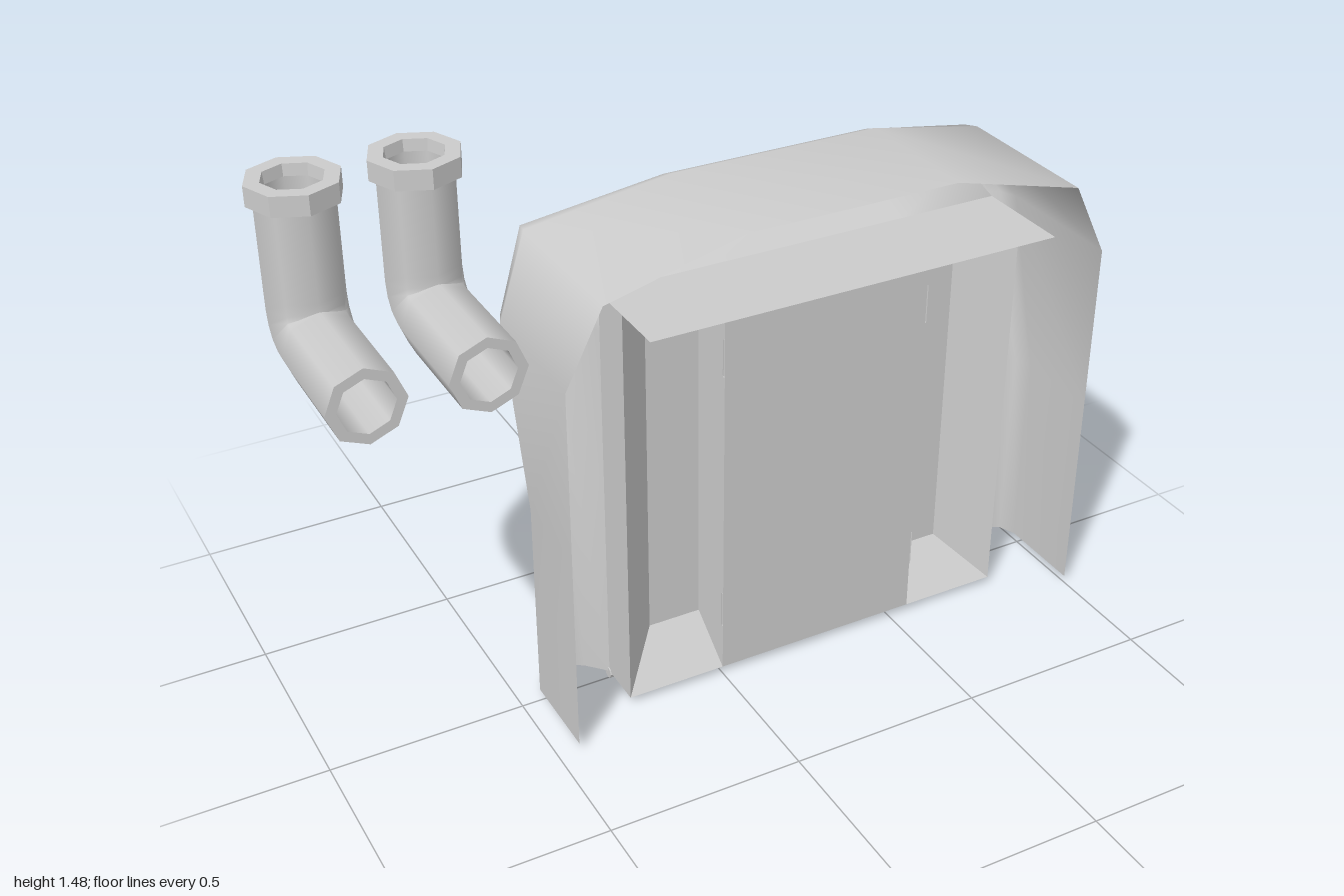
import * as THREE from 'three';

const smooth = new THREE.MeshStandardMaterial({ color: 0xcccccc, side: THREE.DoubleSide });
const flat = new THREE.MeshStandardMaterial({ color: 0xcccccc, side: THREE.DoubleSide, flatShading: true });

const CX = 0.277; // centre line of the hatch
const X0 = -0.26, X1 = 0.814, Y0 = 0.02, Y1 = 1.1; // panel outline
const PANEL_Z = 0.12;

function add(parent, name, geometry, material, x = 0, y = 0, z = 0) {
  const mesh = new THREE.Mesh(geometry, material);
  mesh.name = name;
  mesh.position.set(x, y, z);
  parent.add(mesh);
  return mesh;
}

// Skin a list of equally long point rows
function loft(rows, closed = false) {
  const n = rows[0].length, index = [];
  for (let i = 0; i < rows.length - 1; i++) {
    for (let j = 0; j < (closed ? n : n - 1); j++) {
      const a = i * n + j, b = i * n + (j + 1) % n;
      index.push(a, b, a + n, b, b + n, a + n);
    }
  }
  const g = new THREE.BufferGeometry();
  g.setAttribute('position', new THREE.Float32BufferAttribute(rows.flat(2), 3));
  g.setIndex(index);
  g.computeVertexNormals();
  return g;
}

const rect = (x0, x1, y0, y1, z) => [[x0, y0, z], [x1, y0, z], [x1, y1, z], [x0, y1, z]];

// Tapered tray or block: open at the first rectangle, capped at the last
function taper(a, b) {
  const mid = [(b[0] + b[1]) / 2, (b[2] + b[3]) / 2, b[4]];
  return loft([rect(...a), rect(...b), [mid, mid, mid, mid]], true);
}

function buildHood() {
  // half outline: outer x, outer y, inner x, inner y, rear z
  const half = [
    [-0.445, 0.02, X0, 0.02, -0.075],
    [-0.445, 0.56, X0, 0.56, -0.075],
    [-0.445, 1.0, X0, 1.0, -0.2],
    [-0.35, 1.19, X0, Y1, -0.262],
    [0, 1.28, 0, Y1, -0.2],
  ];
  const other = half.map(([a, b, c, d, e]) => [2 * CX - a, b, 2 * CX - c, d, e]).reverse();
  const rows = [...half, ...other].map(([ox, oy, ix, iy, zb]) => {
    const section = [[0, 0.215], [0, zb + 0.06], [0.1, zb + 0.018], [0.25, zb + 0.003],
      [0.4, zb], [0.6, zb * 0.9], [0.75, zb * 0.65], [1, 0]];
    return section.map(([t, z]) => [ox + (ix - ox) * t, oy + (iy - oy) * t, z]);
  });
  return loft(rows);
}

function buildPanel() {
  const panel = new THREE.Group();
  panel.name = 'hatchPanel';
  const w = X1 - X0, h = Y1 - Y0;

  // Thin border sheets around the panel
  add(panel, 'topSheet', new THREE.PlaneGeometry(w, 0.258).rotateX(-Math.PI / 2), flat, CX, Y1, 0.129);
  add(panel, 'bottomSheet', new THREE.PlaneGeometry(w, PANEL_Z).rotateX(-Math.PI / 2), flat, CX, Y0, PANEL_Z / 2);
  for (const x of [X0, X1]) {
    add(panel, 'sideSheet', new THREE.PlaneGeometry(PANEL_Z, h).rotateY(Math.PI / 2), flat, x, (Y0 + Y1) / 2, PANEL_Z / 2);
  }
  add(panel, 'centrePlate', new THREE.PlaneGeometry(0.554, h), flat, CX, (Y0 + Y1) / 2, PANEL_Z);

  // Sunken channels either side of the plate
  add(panel, 'channel', taper([X0, 0, Y0, Y1, PANEL_Z], [-0.15, -0.01, 0.13, 0.995, 0.01]), flat);
  add(panel, 'channel', taper([0.554, X1, Y0, Y1, PANEL_Z], [0.564, 0.704, 0.13, 0.995, 0.01]), flat);

  // Locking bars with clamp blocks on the rear
  for (const y of [0.2, 0.92]) {
    for (const side of [-1, 1]) {
      const x = CX + side * 0.18;
      add(panel, 'clampBlock', taper([x - 0.1, x + 0.1, y - 0.05, y + 0.05, PANEL_Z],
        [x - 0.085, x + 0.085, y - 0.035, y + 0.035, 0.06]), flat);
    }
    add(panel, 'lockingBar', new THREE.BoxGeometry(0.2, 0.03, 0.03), flat, CX, y, PANEL_Z - 0.015);
  }

  // Six-toothed wheel and hub
  const shape = new THREE.Shape();
  for (let k = 0; k < 6; k++) {
    const mid = Math.PI / 2 + k * Math.PI / 3;
    for (const [da, r] of [[-0.3, 0.155], [-0.18, 0.225], [0.18, 0.225], [0.3, 0.155]]) {
      const x = r * Math.cos(mid + da), y = r * Math.sin(mid + da);
      if (k === 0 && da === -0.3) shape.moveTo(x, y); else shape.lineTo(x, y);
    }
  }
  shape.closePath();
  const hole = new THREE.Path();
  hole.absarc(0, 0, 0.125, 0, Math.PI * 2, true);
  shape.holes.push(hole);
  const wheel = new THREE.ExtrudeGeometry(shape, {
    depth: 0.06, bevelEnabled: true, bevelSize: 0.012, bevelThickness: 0.012, bevelSegments: 1, curveSegments: 8,
  });
  add(panel, 'gearWheel', wheel, flat, CX, 0.56, 0.047);
  add(panel, 'gearHub', new THREE.CylinderGeometry(0.042, 0.042, 0.05, 10).rotateX(Math.PI / 2), flat, CX, 0.56, 0.095);
  return panel;
}

function buildHinge(x) {
  const hinge = new THREE.Group();
  hinge.name = 'hinge';
  const barrel = (r, l) => new THREE.CylinderGeometry(r, r, l, 8).rotateZ(Math.PI / 2);
  add(hinge, 'hingePin', barrel(0.01, 0.17), flat);
  for (const s of [-1, 1]) add(hinge, 'hingeKnuckle', barrel(0.016, 0.06), flat, s * 0.058);
  hinge.position.set(x, 0.016, -0.003);
  return hinge;
}

function buildPipe(x) {
  const pipe = new THREE.Group();
  pipe.name = 'elbowPipe';
  const v = (y, z) => new THREE.Vector3(0, y, z);
  const path = new THREE.CurvePath();
  path.add(new THREE.LineCurve3(v(1.45, -0.115), v(1.2, -0.115)));
  path.add(new THREE.QuadraticBezierCurve3(v(1.2, -0.115), v(1.11, -0.115), v(1.11, -0.025)));
  path.add(new THREE.LineCurve3(v(1.11, -0.025), v(1.11, 0.24)));
  add(pipe, 'pipeOuter', new THREE.TubeGeometry(path, 20, 0.09, 8), smooth);
  add(pipe, 'pipeBore', new THREE.TubeGeometry(path, 20, 0.065, 8), smooth);
  add(pipe, 'pipeRim', new THREE.RingGeometry(0.065, 0.09, 8), flat, 0, 1.11, 0.24);
  // Collar around the upper mouth
  const profile = [[0.065, 1.43], [0.106, 1.43], [0.106, 1.477], [0.07, 1.477], [0.065, 1.43]]
    .map(([r, y]) => new THREE.Vector2(r, y));
  add(pipe, 'pipeCollar', new THREE.LatheGeometry(profile, 8), flat, 0, 0, -0.115);
  pipe.position.x = x;
  return pipe;
}

export function createModel() {
  const model = new THREE.Group();
  model.name = 'hatchWithPipes';
  add(model, 'hood', buildHood(), smooth);
  model.add(buildPanel());
  for (const s of [-1, 1]) model.add(buildHinge(CX + s * 0.452));
  for (const x of [-0.894, -0.626]) model.add(buildPipe(x));
  return model;
}
